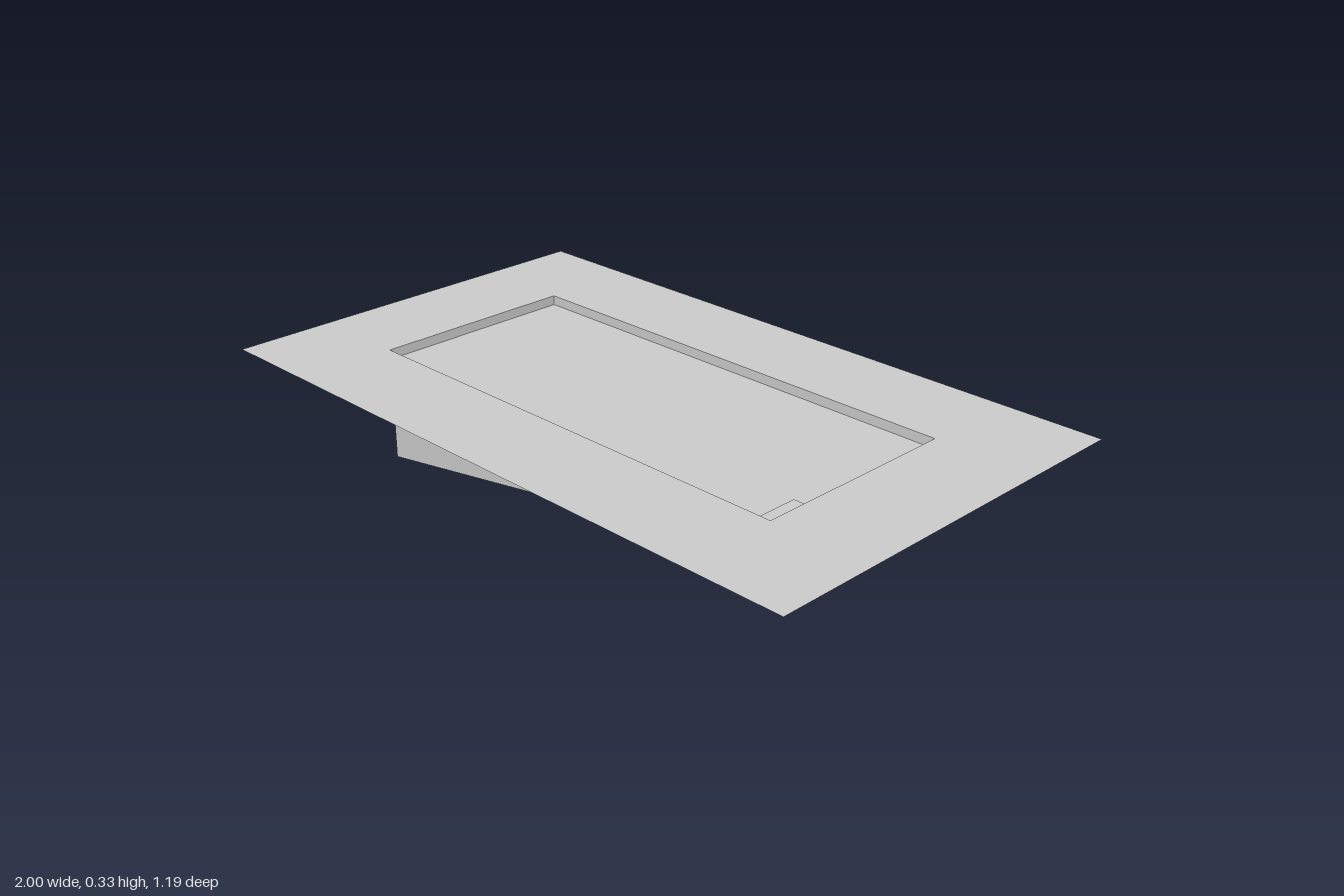
import * as THREE from 'three';

const X = 0.707, Z = 0.306;           // basin half sizes
const TOP = 0.33, WATER = 0.302, SHALLOW = 0.238;

export function createModel() {
  const group = new THREE.Group();
  const mat = new THREE.MeshStandardMaterial({ color: 0xcccccc, side: THREE.DoubleSide });

  const add = (name, geometry, x = 0, y = 0, z = 0) => {
    const mesh = new THREE.Mesh(geometry, mat);
    mesh.name = name;
    mesh.position.set(x, y, z);
    group.add(mesh);
    return mesh;
  };

  // one flat four-cornered panel, corners counter-clockwise
  const quad = (a, b, c, d) => {
    const g = new THREE.BufferGeometry();
    g.setAttribute('position', new THREE.Float32BufferAttribute([...a, ...b, ...c, ...d], 3));
    g.setIndex([0, 1, 2, 0, 2, 3]);
    g.computeVertexNormals();
    return g;
  };

  const rect = (target, w, d) => {
    target.moveTo(-w, -d);
    target.lineTo(w, -d);
    target.lineTo(w, d);
    target.lineTo(-w, d);
    target.closePath();
    return target;
  };

  // thin surrounding deck with the pool opening
  const deck = rect(new THREE.Shape(), 1, 0.597);
  deck.holes.push(rect(new THREE.Path(), X, Z));
  add('deck', new THREE.ShapeGeometry(deck).rotateX(-Math.PI / 2), 0, TOP, 0);

  // sloping floor, deep at the left end and shallow at the right
  add('basinFloor', quad([-X, 0, Z], [X, SHALLOW, Z], [X, SHALLOW, -Z], [-X, 0, -Z]));

  // basin walls
  add('frontWall', quad([-X, 0, Z], [X, SHALLOW, Z], [X, TOP, Z], [-X, TOP, Z]));
  add('backWall', quad([X, SHALLOW, -Z], [-X, 0, -Z], [-X, TOP, -Z], [X, TOP, -Z]));
  add('deepEndWall', quad([-X, 0, -Z], [-X, 0, Z], [-X, TOP, Z], [-X, TOP, -Z]));
  add('shallowEndWall', quad([X, SHALLOW, Z], [X, SHALLOW, -Z], [X, TOP, -Z], [X, TOP, Z]));

  // water just below the deck
  add('waterSurface', new THREE.PlaneGeometry(2 * X, 2 * Z).rotateX(-Math.PI / 2), 0, WATER, 0);

  // three corner steps, largest at the bottom
  const rise = 0.035, cornerX = 0.711, cornerZ = 0.315;
  for (let i = 0; i < 3; i++) {
    const w = 0.14 - i * 0.04, d = 0.235 - i * 0.04;
    add('step' + (i + 1), new THREE.BoxGeometry(w, rise, d),
      cornerX - w / 2, 0.205 + rise * (i + 0.5), cornerZ - d / 2);
  }
  return group;
}
